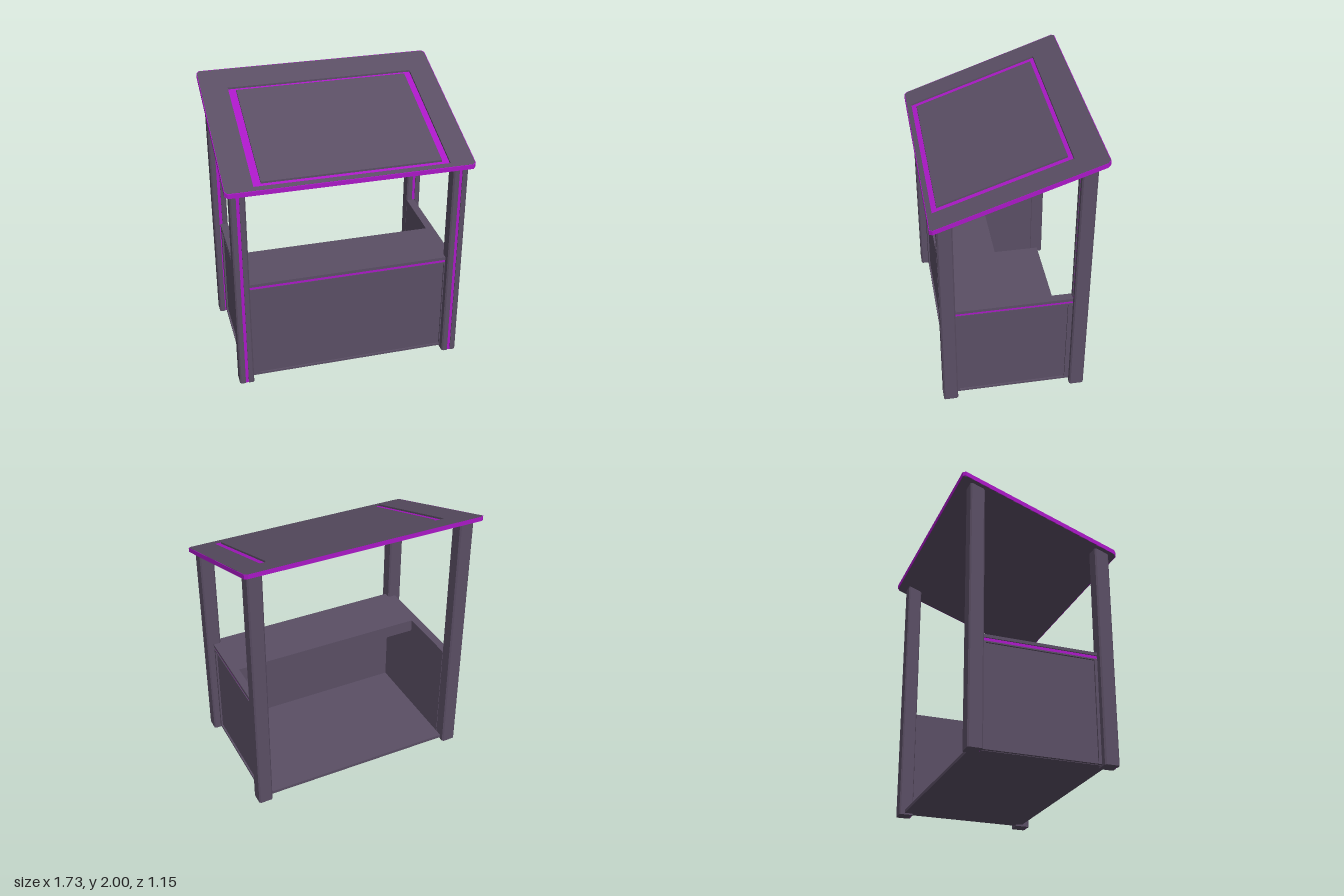
import * as THREE from 'three';

const dark = new THREE.MeshStandardMaterial({ color: 0x5a4e64 });
const purple = new THREE.MeshStandardMaterial({ color: 0xaa18c6 });

const SLOPE = 0.351; // roof rise per unit of depth
const roofUnder = (z) => 1.562 + (0.58 - z) * SLOPE;

function add(parent, name, geometry, material) {
  const mesh = new THREE.Mesh(geometry, material);
  mesh.name = name;
  parent.add(mesh);
  return mesh;
}

// Box given by its two opposite corners
function box(parent, name, [x0, y0, z0], [x1, y1, z1], material = dark) {
  const g = new THREE.BoxGeometry(x1 - x0, y1 - y0, z1 - z0);
  g.translate((x0 + x1) / 2, (y0 + y1) / 2, (z0 + z1) / 2);
  return add(parent, name, g, material);
}

// Rectangle outline with cut corners
function outline(x0, y0, x1, y1, c = 0) {
  const pts = c
    ? [[x0 + c, y0], [x1 - c, y0], [x1, y0 + c], [x1, y1 - c], [x1 - c, y1], [x0 + c, y1], [x0, y1 - c], [x0, y0 + c]]
    : [[x0, y0], [x1, y0], [x1, y1], [x0, y1]];
  return pts.map(([x, y]) => new THREE.Vector2(x, y));
}

function plate(points, depth, hole) {
  const shape = new THREE.Shape(points);
  if (hole) shape.holes.push(new THREE.Path(hole));
  return new THREE.ExtrudeGeometry(shape, { depth, bevelEnabled: false });
}

// Plan outline (x, -z) raised upright
const upright = (points, height, hole) => plate(points, height, hole).rotateX(-Math.PI / 2);

// Corner post with a strip set in a groove of its front face, cut to the roof slope
function makePost(name, x, z) {
  const post = new THREE.Group();
  post.name = name;
  const h = 0.0525, c = 0.01, w = 0.011, d = 0.01;
  const profile = [
    [-h + c, -h], [-w, -h], [-w, -h + d], [w, -h + d], [w, -h], [h - c, -h],
    [h, -h + c], [h, h - c], [h - c, h], [-h + c, h], [-h, h - c], [-h, -h + c],
  ].map((p) => new THREE.Vector2(...p));
  const strip = new THREE.BoxGeometry(2 * w, 1, 0.004).translate(0, 0.5, h - d + 0.003);
  for (const [part, geo, mat] of [['postBody', upright(profile, 1), dark], ['postStrip', strip, purple]]) {
    const pos = geo.attributes.position;
    for (let i = 0; i < pos.count; i++) {
      if (pos.getY(i) > 0.5) pos.setY(i, roofUnder(z + pos.getZ(i)) + 0.003);
    }
    geo.computeVertexNormals();
    add(post, part, geo, mat);
  }
  post.position.set(x, 0, z);
  return post;
}

// Wall facing +z with a sunken panel, a purple line and a counter-height lip
function makeWall(name, x0, x1, thick, hx0, hx1) {
  const wall = new THREE.Group();
  wall.name = name;
  box(wall, 'wallCore', [x0, 0.015, -thick], [x1, 0.8, -0.012]);
  const frame = plate(outline(x0, 0.015, x1, 0.765), 0.012, outline(hx0, 0.03, hx1, 0.755));
  add(wall, 'wallFrame', frame.translate(0, 0, -0.012), dark);
  box(wall, 'wallLine', [x0, 0.765, -0.02], [x1, 0.79, -0.005], purple);
  box(wall, 'wallLip', [x0, 0.788, -thick], [x1, 0.81, 0.003]);
  return wall;
}

function makeRoof() {
  const roof = new THREE.Group();
  roof.name = 'roof';
  const X = 0.866, Z = 0.577, t = 0.004;
  const full = outline(-X, -Z, X, Z, 0.02);
  const inner = outline(-X + t, -Z + t, X - t, Z - t, 0.019);
  const groove = outline(-0.67, -0.54, 0.69, 0.38);
  const layers = [
    ['roofSlab', upright(inner, 0.02), dark, 0],
    ['roofEdge', upright(full, 0.033, inner), purple, 0.001],
    ['roofFrame', upright(inner, 0.015, groove), dark, 0.02],
    ['roofGroove', upright(groove, 0.002), purple, 0.0195],
    ['roofPanel', upright(outline(-0.615, -0.505, 0.64, 0.35), 0.015), dark, 0.02],
  ];
  for (const [name, geo, mat, y] of layers) {
    // Tilt by shearing so the edges stay vertical
    const pos = geo.translate(0, y, 0).attributes.position;
    for (let i = 0; i < pos.count; i++) pos.setY(i, pos.getY(i) + roofUnder(pos.getZ(i)));
    geo.computeVertexNormals();
    add(roof, name, geo, mat);
  }
  return roof;
}

export function createModel() {
  const model = new THREE.Group();
  model.name = 'marketStall';

  for (const [side, s] of [['left', 1], ['right', -1]]) {
    model.add(makePost(side + 'FrontPost', s * 0.7775, 0.4775));
    model.add(makePost(side + 'BackPost', s * 0.7775, -0.4575));
  }

  const front = makeWall('frontWall', -0.728, 0.728, 0.045, -0.67, 0.718);
  front.position.z = 0.475;
  model.add(front);

  const left = makeWall('leftWall', -0.43, 0.41, 0.055, -0.405, 0.375);
  left.rotation.y = Math.PI / 2;
  left.position.x = 0.78;
  const right = makeWall('rightWall', -0.41, 0.43, 0.055, -0.375, 0.405);
  right.rotation.y = -Math.PI / 2;
  right.position.x = -0.78;
  model.add(left, right);

  // Counter inside the front wall, and the floor
  box(model, 'counter', [-0.726, 0.715, 0.05], [0.726, 0.81, 0.431]);
  box(model, 'floor', [-0.76, 0.012, -0.47], [0.76, 0.035, 0.46]);

  model.add(makeRoof());
  return model;
}
